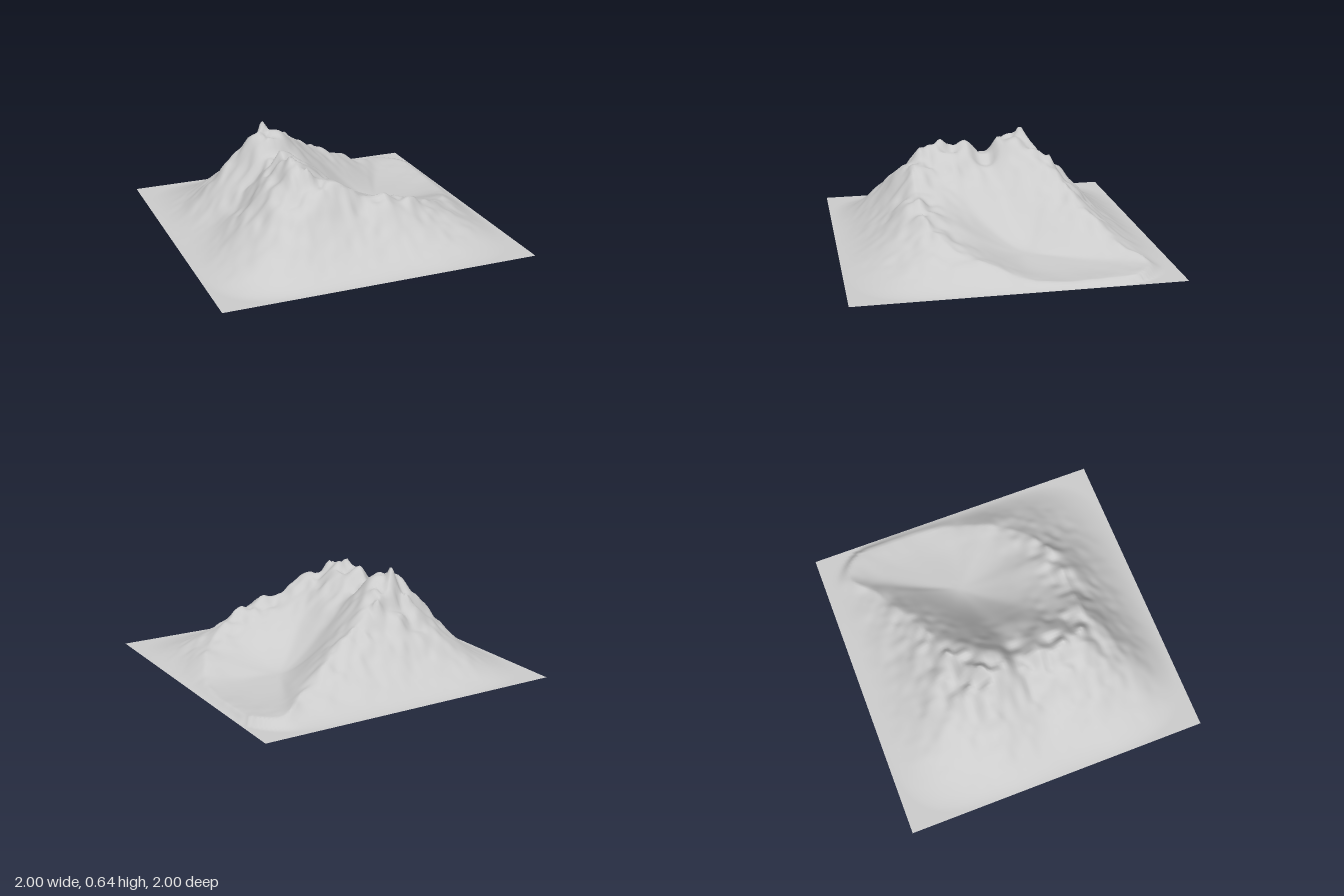
import * as THREE from 'three';

// Seeded value noise in the range -1..1
function hash(i, j) {
  let h = Math.imul(i + 101, 374761393) ^ Math.imul(j + 57, 668265263);
  h = Math.imul(h ^ (h >>> 13), 1274126177);
  return ((h ^ (h >>> 16)) >>> 0) / 2147483648 - 1;
}
function noise(x, z) {
  const i = Math.floor(x), j = Math.floor(z);
  const fx = x - i, fz = z - j;
  const u = fx * fx * (3 - 2 * fx), v = fz * fz * (3 - 2 * fz);
  const a = THREE.MathUtils.lerp(hash(i, j), hash(i + 1, j), u);
  const b = THREE.MathUtils.lerp(hash(i, j + 1), hash(i + 1, j + 1), u);
  return THREE.MathUtils.lerp(a, b, v);
}
const rough = (x, z) =>
  0.35 * noise(x * 5, z * 5) + 0.55 * noise(x * 10 + 7, z * 10) + 0.4 * noise(x * 19, z * 19 + 3);

// Horseshoe crest around the valley: x, height, z
const crest = new THREE.CatmullRomCurve3([
  [-0.34, 0.63, -0.23], [-0.3, 0.49, -0.02], [-0.34, 0.54, 0.2], [-0.24, 0.49, 0.47],
  [0.08, 0.35, 0.49], [0.3, 0.3, 0.5], [0.5, 0.22, 0.45], [0.7, 0.145, 0.3],
  [0.83, 0.09, 0.1], [0.9, 0.05, -0.05], [0.94, 0.03, -0.25], [0.95, 0.035, -0.5],
  [0.94, 0.045, -0.72], [0.78, 0.06, -0.82], [0.58, 0.11, -0.68], [0.35, 0.22, -0.58],
  [0.1, 0.35, -0.47], [-0.14, 0.5, -0.4],
].map((p) => new THREE.Vector3(...p)), true);

// Valley centre, and the crest as seen from it
const CX = 0.45, CZ = -0.15;
const loop = crest.getPoints(360).map((p) => ({ x: p.x - CX, y: p.y, z: p.z - CZ }));

// Distance and height of the crest in one direction from the valley centre
function crestAt(dx, dz) {
  for (let i = 0; i < loop.length - 1; i++) {
    const p = loop[i], q = loop[i + 1];
    const a = p.x * dz - p.z * dx, b = q.x * dz - q.z * dx;
    if (a * b > 0 || p.x * dx + p.z * dz < 0) continue;
    const w = Math.abs(a) / (Math.abs(a) + Math.abs(b) || 1);
    const x = p.x + (q.x - p.x) * w, z = p.z + (q.z - p.z) * w;
    return { r: Math.hypot(x, z), y: p.y + (q.y - p.y) * w };
  }
  return { r: 0.5, y: 0.1 };
}

// Distance to the rounded-square foot of the mountain
function footAt(dx, dz) {
  let lo = 0, hi = 3;
  for (let i = 0; i < 24; i++) {
    const m = (lo + hi) / 2;
    const inside = Math.abs(CX + dx * m) ** 5 + Math.abs(CZ + dz * m) ** 5 < 1;
    if (inside) lo = m; else hi = m;
  }
  return lo;
}

function heightAt(x, z) {
  if (Math.max(Math.abs(x), Math.abs(z)) > 0.999) return 0;
  const r = Math.hypot(x - CX, z - CZ) || 1e-4;
  const dx = (x - CX) / r, dz = (z - CZ) / r;
  const c = crestAt(dx, dz);
  let h, detail;
  if (r < c.r) {
    // Valley side: broad shoulder, steep wall, easing into the floor
    const s = r / c.r;
    const floor = Math.min(0.06 * (1 - x), c.y);
    const wall = 0.7 * s * s * (3 - 2 * s) + 0.3 * s ** 1.6;
    const k = 1 + 3 * Math.max(0, 1 - c.y / 0.12) ** 2;
    h = floor + (c.y - floor) * wall ** k;
    detail = s ** 3;
  } else {
    // Outer slope, flattening towards the foot
    const foot = footAt(dx, dz);
    const t = Math.min(1, (r - c.r) / (foot - c.r));
    h = c.y * (1 - t) ** 1.55 * (1 + 0.6 * t * (1 - t));
    detail = 1 - 0.7 * t;
  }
  return Math.max(0, h * (1 + 0.16 * detail * rough(x, z)));
}

export function createModel() {
  const group = new THREE.Group();
  group.name = 'mountain';

  // Terrain sheet, open underneath
  const geometry = new THREE.PlaneGeometry(2, 2, 110, 110).rotateX(-Math.PI / 2);
  const pos = geometry.attributes.position;
  for (let i = 0; i < pos.count; i++) pos.setY(i, heightAt(pos.getX(i), pos.getZ(i)));
  geometry.computeVertexNormals();

  const terrain = new THREE.Mesh(
    geometry,
    new THREE.MeshStandardMaterial({ color: 0xcccccc, side: THREE.DoubleSide }),
  );
  terrain.name = 'terrain';
  group.add(terrain);
  return group;
}
